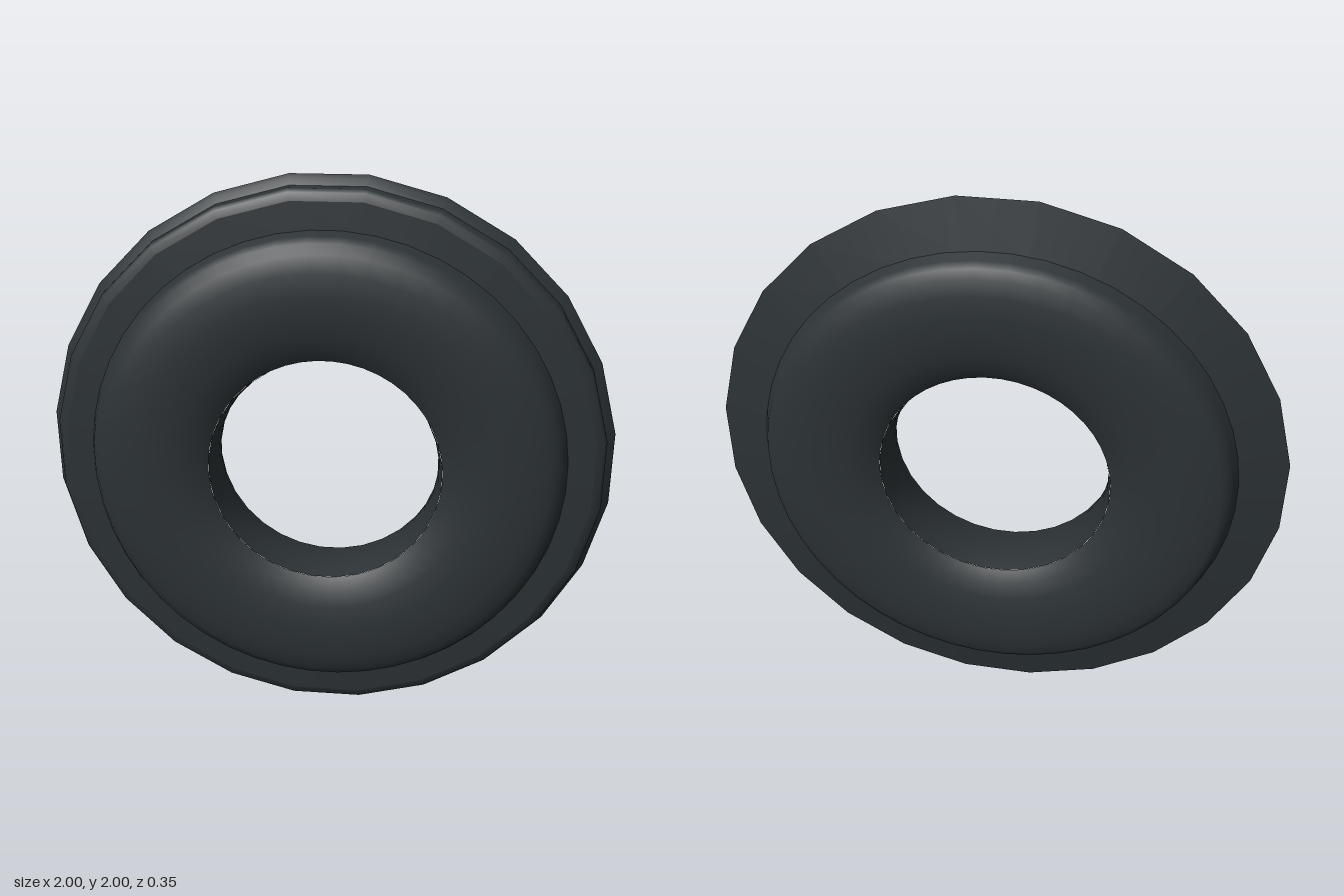
import * as THREE from 'three';

const material = new THREE.MeshStandardMaterial({ color: 0x2c3235 });

// Revolves [radius, z] points about the z axis. Listed back to front on the
// outside and front to back in the bore, so that faces point outwards.
function ring(name, points, sides) {
  const profile = points.map(([r, z]) => new THREE.Vector2(r, z));
  const geometry = new THREE.LatheGeometry(profile, sides, Math.PI / sides);
  geometry.rotateX(Math.PI / 2);
  const mesh = new THREE.Mesh(geometry, material);
  mesh.name = name;
  return mesh;
}

export function createModel() {
  const group = new THREE.Group();
  group.name = 'sealRing';

  // Rounded front face, from the flange to the bore
  const frontFace = [
    [0.84, 0.06], [0.825, 0.1], [0.808, 0.128], [0.775, 0.15], [0.72, 0.164],
    [0.65, 0.172], [0.58, 0.17], [0.51, 0.16], [0.45, 0.14], [0.41, 0.115],
  ];
  // Rounded back face, from the bore to the flange
  const backFace = [
    [0.41, -0.115], [0.45, -0.142], [0.51, -0.163], [0.58, -0.174], [0.66, -0.178],
    [0.73, -0.17], [0.785, -0.157], [0.812, -0.14], [0.825, -0.11], [0.84, -0.075],
  ];
  // Bore, slightly narrower in the middle
  const bore = [[0.41, 0.115], [0.398, 0.06], [0.394, 0], [0.398, -0.06], [0.41, -0.115]];

  group.add(
    ring('frontFace', frontFace, 48),
    ring('backFace', backFace, 48),
    ring('bore', bore, 32),
  );

  // Flange: tapered back, sharp lip, stepped edge and flat front
  const flange = new THREE.Group();
  flange.name = 'flange';
  flange.add(
    ring('flangeBack', [[0.83, -0.077], [1.008, -0.037]], 24),
    ring('lip', [[1.008, -0.037], [0.997, -0.022], [0.975, -0.002]], 24),
    ring('flangeEdge', [[0.975, -0.002], [0.973, 0.035], [0.962, 0.052], [0.935, 0.06]], 24),
    ring('flangeFront', [[0.935, 0.06], [0.83, 0.067]], 24),
  );
  group.add(flange);

  group.position.y = 1;
  const model = new THREE.Group();
  model.add(group);
  return model;
}
